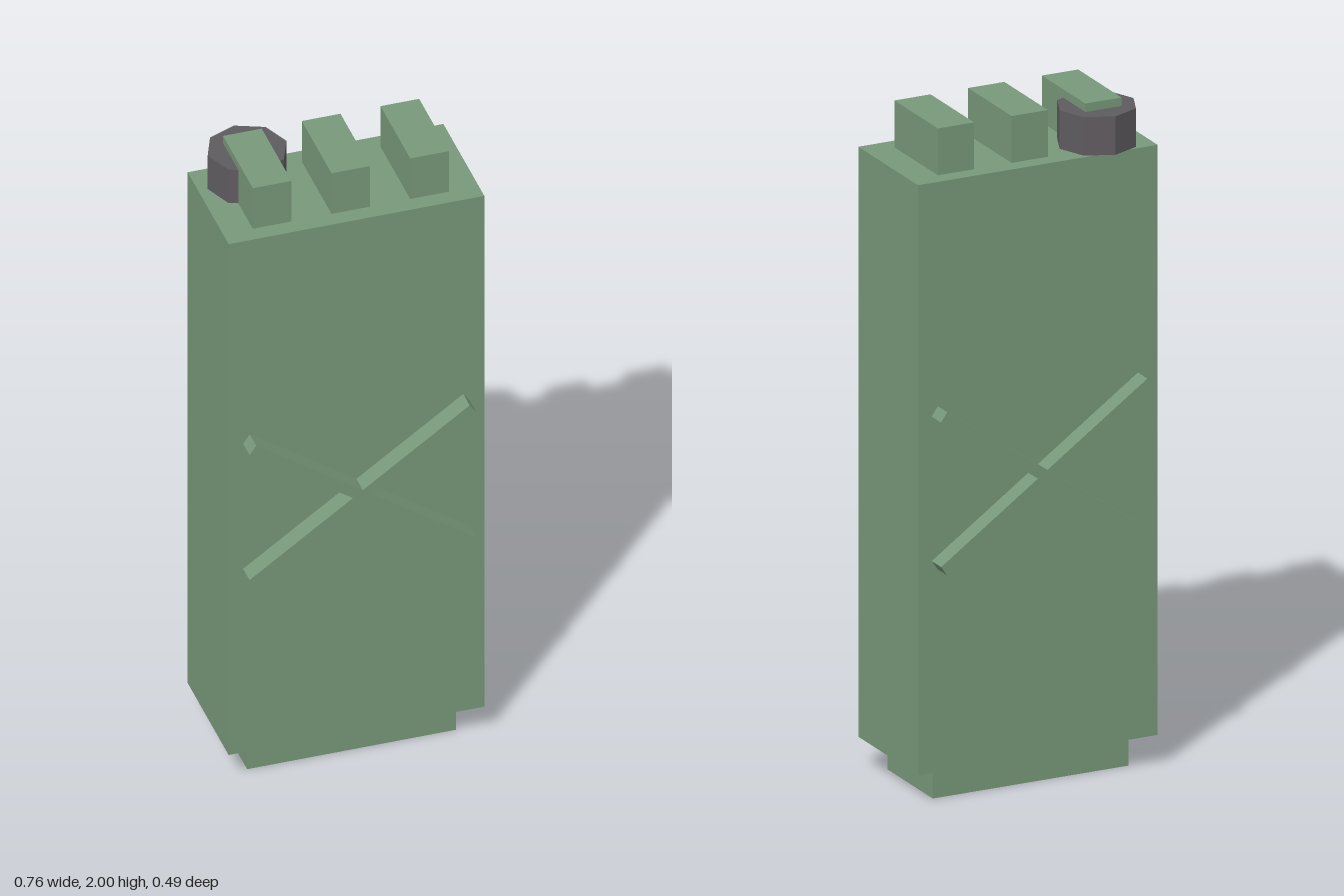
import * as THREE from 'three';

export function createModel() {
  const group = new THREE.Group();
  const green = new THREE.MeshStandardMaterial({ color: 0x78987a, flatShading: true });
  const dark = new THREE.MeshStandardMaterial({ color: 0x5f5b60, flatShading: true });

  const add = (name, geometry, material, x, y, z) => {
    const mesh = new THREE.Mesh(geometry, material);
    mesh.name = name;
    mesh.position.set(x, y, z);
    group.add(mesh);
    return mesh;
  };

  // can body and narrower foot
  add('body', new THREE.BoxGeometry(0.76, 1.765, 0.371), green, 0, 0.9775, 0);
  add('foot', new THREE.BoxGeometry(0.62, 0.095, 0.28), green, 0, 0.0475, 0);

  // three carrying handles along the top
  ['rightHandle', 'middleHandle', 'leftHandle'].forEach((name, i) => {
    add(name, new THREE.BoxGeometry(0.115, 0.14, 0.27), green, (i - 1) * 0.234, 1.93, 0);
  });

  // octagonal filler cap behind the right handle
  add('fillerCap', new THREE.CylinderGeometry(0.117, 0.117, 0.115, 8), dark, -0.235, 1.9175, -0.09);

  // crossed ribs, passing through to both broad faces
  for (const side of [1, -1]) {
    const rib = add(side > 0 ? 'risingRib' : 'fallingRib',
      new THREE.BoxGeometry(0.8, 0.034, 0.488), green, 0, 0.945, 0);
    rib.rotation.z = side * 0.613;
  }
  return group;
}
